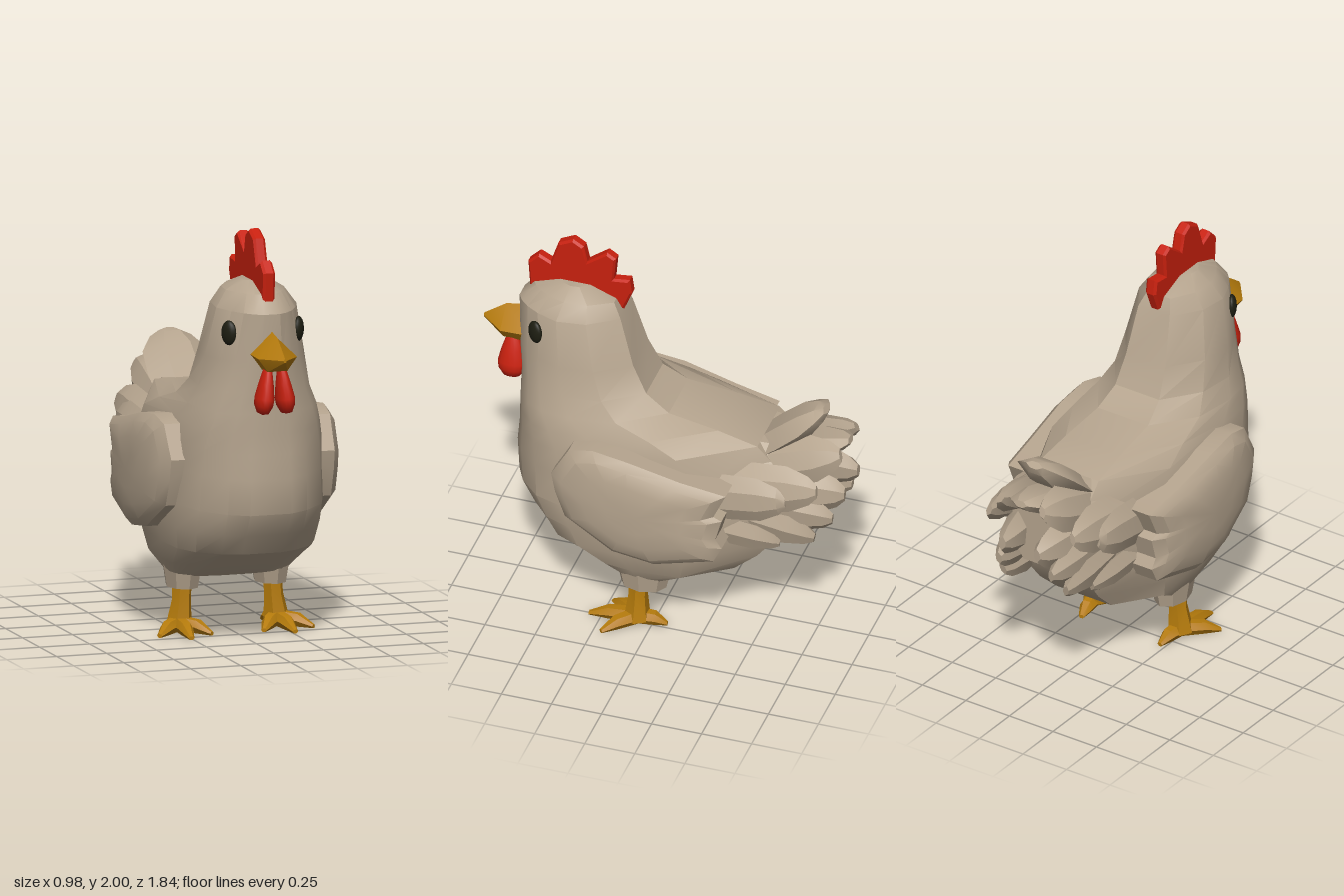
import * as THREE from 'three';
import { toCreasedNormals } from 'three/addons/utils/BufferGeometryUtils.js';

const V = (x, y, z) => new THREE.Vector3(x, y, z);

// Closed skin over a list of equally sized rings, with fan caps at both ends
function loft(rings, crease = 0.5) {
  const n = rings[0].length, pts = rings.flat(), idx = [];
  for (let r = 0; r < rings.length - 1; r++) {
    for (let i = 0; i < n; i++) {
      const a = r * n + i, b = r * n + (i + 1) % n;
      idx.push(a, b, a + n, b, b + n, a + n);
    }
  }
  [0, rings.length - 1].forEach((r, end) => {
    const c = pts.length;
    pts.push(rings[r].reduce((s, p) => s.add(p), V(0, 0, 0)).divideScalar(n));
    for (let i = 0; i < n; i++) {
      const a = r * n + i, b = r * n + (i + 1) % n;
      end ? idx.push(c, a, b) : idx.push(c, b, a);
    }
  });
  // Turn the faces outward whichever way the rings run
  let volume = 0;
  for (let i = 0; i < idx.length; i += 3) {
    volume += pts[idx[i]].dot(V(0, 0, 0).crossVectors(pts[idx[i + 1]], pts[idx[i + 2]]));
  }
  if (volume < 0) idx.reverse();
  const geo = new THREE.BufferGeometry().setFromPoints(pts);
  geo.setIndex(idx);
  return toCreasedNormals(geo, crease);
}

// Ridged, blunt leaf from base to tip; "out" is the direction its flat side faces
function feather(base, tip, width, thick, out) {
  const dir = tip.clone().sub(base).normalize();
  const side = V(0, 0, 0).crossVectors(dir, out).normalize();
  const up = V(0, 0, 0).crossVectors(side, dir);
  const section = [[1, 0], [0.4, 0.8], [-0.4, 0.8], [-1, 0], [-0.4, -0.8], [0.4, -0.8]];
  return loft([[0, 0.9], [0.4, 1], [0.72, 0.95], [0.92, 0.6], [1, 0.28]].map(([t, k]) =>
    section.map(([u, v]) => base.clone().lerp(tip, t)
      .addScaledVector(side, u * k * width).addScaledVector(up, v * k * thick))));
}

function material(name, color) {
  const m = new THREE.MeshStandardMaterial({ color });
  m.name = name;
  return m;
}

export function createModel() {
  const model = new THREE.Group();
  model.name = 'chicken';
  const plumage = material('plumage', 0xb5a48e);
  const red = material('combRed', 0xc8200e);
  const horn = material('beakAndLegs', 0xb57b0c);
  const dark = material('eyeBlack', 0x1e1e12);
  const add = (name, geo, mat, parent = model) => {
    const mesh = new THREE.Mesh(geo, mat);
    mesh.name = name;
    parent.add(mesh);
    return mesh;
  };

  // Half outlines seen from above (side, front to back): pointed head, fuller breast
  const headHalf = [[0.2, 1], [0.4, 0.91], [0.6, 0.75], [0.8, 0.5], [1, 0.1], [0.92, -0.45], [0.45, -1]];
  const bodyHalf = [[0.27, 1], [0.52, 0.93], [0.8, 0.78], [0.95, 0.57], [1, 0.2], [0.94, -0.42], [0.47, -1]];
  // Body, neck and head: tilted rings [front y, back y, front z, back z, half width, breast fullness]
  const levels = [
    [1.76, 1.76, 0.54, 0.38, 0.07, 0], [1.715, 1.71, 0.66, 0.25, 0.145, 0], [1.63, 1.64, 0.73, 0.21, 0.2, 0],
    [1.4, 1.4, 0.725, 0.14, 0.248, 0.2], [1.25, 1.26, 0.71, 0.07, 0.272, 0.6], [1.15, 1.185, 0.71, -0.05, 0.31, 0.8],
    [1.05, 1.15, 0.71, -0.3, 0.335, 1], [0.95, 1.11, 0.71, -0.5, 0.36, 1], [0.83, 0.95, 0.72, -0.66, 0.37, 1],
    [0.66, 0.75, 0.71, -0.66, 0.38, 1], [0.55, 0.6, 0.645, -0.6, 0.378, 1], [0.45, 0.47, 0.575, -0.5, 0.36, 1],
    [0.36, 0.36, 0.37, -0.38, 0.335, 1], [0.28, 0.28, 0.19, -0.13, 0.29, 1],
  ];
  add('body', loft(levels.map(([yF, yB, zF, zB, w, f]) => {
    const half = headHalf.map(([x, t], i) => [x + (bodyHalf[i][0] - x) * f, t + (bodyHalf[i][1] - t) * f]);
    return [...half, ...half.map(([x, t]) => [-x, t]).reverse()].map(([x, t]) => {
      const k = (1 - t) / 2;
      return V(x * w, yF + (yB - yF) * k, zF + (zB - zF) * k);
    });
  })), plumage);

  // Tail root joining the body to the feathers: [z, half width, bottom, top]
  add('tailRoot', loft([[-0.25, 0.3, 0.55, 1.11], [-0.52, 0.25, 0.6, 1.11], [-0.78, 0.14, 0.74, 1.08]]
    .map(([z, w, low, top]) => {
      const mid = (low + top) / 2, h = (top - low) / 2;
      return [[0.5, 1], [0.95, 0.5], [0.95, -0.4], [0.5, -1], [-0.5, -1], [-0.95, -0.4], [-0.95, 0.5], [-0.5, 1]]
        .map(([x, y]) => V(x * w, mid + y * h, z));
    })), plumage);

  // Comb
  const comb = new THREE.Shape([
    [0.68, 1.67], [0.69, 1.82], [0.64, 1.87], [0.58, 1.84], [0.54, 1.96], [0.47, 1.995], [0.42, 1.965],
    [0.4, 1.88], [0.3, 1.955], [0.26, 1.93], [0.27, 1.81], [0.19, 1.82], [0.18, 1.75], [0.22, 1.65], [0.45, 1.68],
  ].map(([z, y]) => new THREE.Vector2(z, y)));
  const combGeo = new THREE.ExtrudeGeometry(comb, {
    depth: 0.036, bevelThickness: 0.012, bevelSize: 0.01, bevelOffset: -0.006, bevelSegments: 1,
  });
  add('comb', combGeo.rotateY(-Math.PI / 2).translate(0.018, 0, 0), red);

  // Beak: [z, half width, top, middle, bottom]
  add('beak', loft([[0.66, 0.1, 1.56, 1.44, 1.365], [0.81, 0.097, 1.53, 1.435, 1.37], [0.92, 0.008, 1.45, 1.44, 1.43]]
    .map(([z, w, top, mid, low]) => [
      V(0, top, z), V(w, mid, z), V(w * 0.5, low, z), V(-w * 0.5, low, z), V(-w, mid, z),
    ])), horn);

  // Central tail feathers: a broad raised one over a longer flat one
  add('tailFeatherTop', feather(V(0, 1.0, -0.46), V(0, 1.285, -0.79), 0.17, 0.075, V(0, 1, 0)), plumage);
  add('tailFeatherCentre', feather(V(0, 0.98, -0.45), V(0, 1.13, -0.91), 0.14, 0.07, V(0, 1, 0)), plumage);

  // Feathers repeated on each side: base, tip, width, thickness, facing
  const feathers = [
    [[0.13, 0.95, -0.42], [0.12, 1.12, -0.9], 0.12, 0.07, [1, 0.5, 0]],
    [[0.15, 0.87, -0.4], [0.1, 0.88, -0.915], 0.13, 0.08, [1, 0.1, 0]],
    [[0.19, 0.8, -0.35], [0.15, 0.76, -0.87], 0.12, 0.07, [1, -0.1, 0]],
    [[0.2, 0.74, -0.3], [0.18, 0.65, -0.79], 0.12, 0.07, [1, -0.3, 0]],
    [[0.24, 0.9, -0.3], [0.24, 0.97, -0.82], 0.12, 0.06, [1, 0.3, 0]],
    [[0.29, 0.85, -0.2], [0.29, 0.91, -0.68], 0.12, 0.05, [1, 0.1, 0.1]],
    [[0.27, 0.68, -0.2], [0.22, 0.61, -0.63], 0.1, 0.06, [1, -0.3, 0.2]],
  ];
  // Wing outline as [z, y]
  const wing = [
    [0.45, 0.9], [0.36, 1.06], [0.24, 1.09], [0.06, 1.065], [-0.2, 1], [-0.42, 0.96], [-0.36, 0.83],
    [-0.4, 0.81], [-0.37, 0.7], [-0.4, 0.65], [-0.36, 0.57], [-0.07, 0.5], [0.14, 0.53], [0.38, 0.67], [0.43, 0.8],
  ];

  for (const s of [1, -1]) {
    const side = new THREE.Group();
    side.name = s > 0 ? 'leftSide' : 'rightSide';
    model.add(side);
    const P = ([x, y, z]) => V(s * x, y, z);

    feathers.forEach(([a, b, w, t, out], i) =>
      add('tailFeather' + (i + 1), feather(P(a), P(b), w, t, P(out)), plumage, side));

    // Wing: rim, edge and bulged outer face
    add('wing', loft([[0.28, 1], [0.43, 1], [0.465, 0.86], [0.485, 0.6], [0.492, 0.3]].map(([x, k]) => wing.map(([z, y]) => {
      const zz = (z - 0.03) * k + 0.03;
      return P([x - 0.07 * Math.max(0, Math.abs(zz - 0.05) - 0.1), (y - 0.78) * k + 0.78, zz]);
    }))), plumage, side);

    // Eye
    const eye = add('eye', new THREE.SphereGeometry(1, 16, 12), dark, side);
    eye.scale.set(0.024, 0.06, 0.043);
    eye.position.set(s * 0.174, 1.53, 0.607);
    eye.rotation.y = -s * 0.55;

    // Wattle
    const drop = [[0, -0.13], [0.03, -0.12], [0.047, -0.085], [0.05, -0.05], [0.038, 0.02], [0.022, 0.09], [0, 0.13]];
    const wattle = add('wattle', new THREE.LatheGeometry(drop.map(([r, y]) => new THREE.Vector2(r, y)), 16), red, side);
    wattle.position.set(s * 0.045, 1.285, 0.765);
    wattle.rotation.z = s * 0.12;
    wattle.scale.set(0.9, 1, 1.4);

    // Thigh and shank
    const thigh = new THREE.CylinderGeometry(0.1, 0.075, 0.16, 8).scale(1, 1, 1.5).translate(s * 0.22, 0.295, 0.05);
    add('thigh', toCreasedNormals(thigh, 0.5), plumage, side);
    const ring = (x, y, z, r) => Array.from({ length: 6 }, (_, i) => {
      const a = i * Math.PI / 3;
      return P([x + r * Math.cos(a), y, z + r * Math.sin(a)]);
    });
    add('shank', loft([ring(0.225, 0.28, 0.07, 0.05), ring(0.23, 0.16, 0.075, 0.047), ring(0.245, 0.03, 0.075, 0.065)]),
      horn, side);

    // Toes: three forward, one back
    for (const [x, z] of [[0.13, 0.23], [0.26, 0.31], [0.385, 0.21], [0.225, -0.07]]) {
      const a = V(0.245, 0, 0.07), b = V(x, 0, z);
      const across = V(z - a.z, 0, a.x - x).normalize();
      add('toe', loft([[0, 0.042, 0.04], [0.6, 0.036, 0.035], [1, 0.014, 0.01]].map(([t, r, y]) =>
        Array.from({ length: 6 }, (_, i) => {
          const q = i * Math.PI / 3, p = a.clone().lerp(b, t).addScaledVector(across, Math.cos(q) * r);
          return P([p.x, y + Math.sin(q) * y, p.z]);
        }))), horn, side);
    }
  }
  return model;
}
